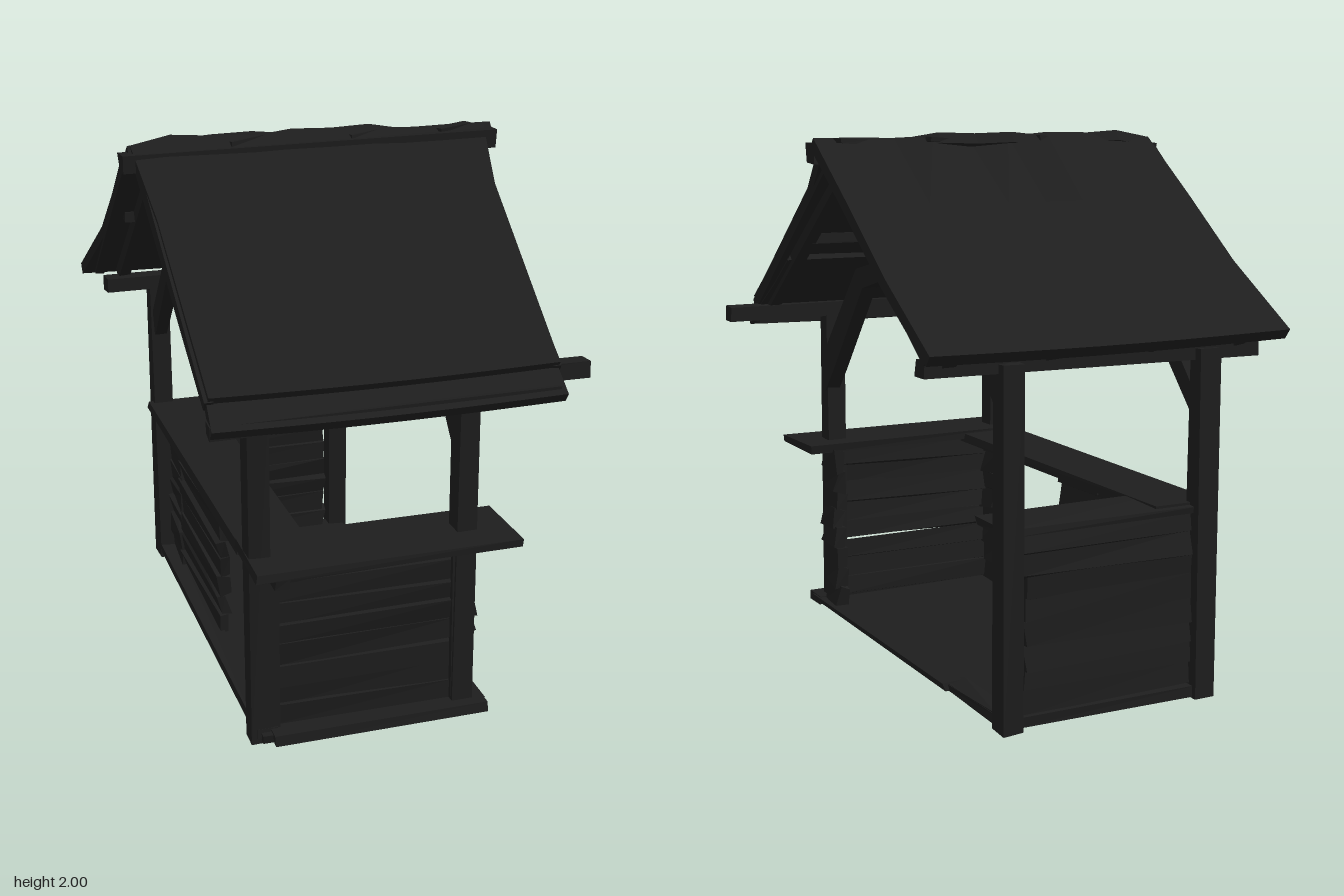
import * as THREE from 'three';

export function createModel() {
  const model = new THREE.Group();
  model.name = 'marketStall';
  const wood = new THREE.MeshStandardMaterial({ color: 0x1e1e1e, flatShading: true });
  wood.name = 'darkWood';

  let seed = 7;
  const rnd = () => ((seed = (seed * 16807) % 2147483647) / 2147483647) - 0.5;
  const lerp = THREE.MathUtils.lerp;

  function add(name, geometry, parent = model) {
    const mesh = new THREE.Mesh(geometry, wood);
    mesh.name = name;
    parent.add(mesh);
    return mesh;
  }
  // box whose eight corners are nudged for a hand-cut look
  function roughBox(w, h, d, j = 0.008) {
    const g = new THREE.BoxGeometry(w, h, d), p = g.attributes.position;
    const nudge = Array.from({ length: 8 }, () => [rnd() * j, rnd() * j, rnd() * j]);
    for (let i = 0; i < p.count; i++) {
      const n = nudge[(p.getX(i) > 0 ? 1 : 0) + (p.getY(i) > 0 ? 2 : 0) + (p.getZ(i) > 0 ? 4 : 0)];
      p.setXYZ(i, p.getX(i) + n[0], p.getY(i) + n[1], p.getZ(i) + n[2]);
    }
    g.computeVertexNormals();
    return g;
  }
  // box given by its limits
  function block(name, x0, x1, y0, y1, z0, z1, j, parent) {
    const m = add(name, roughBox(x1 - x0, y1 - y0, z1 - z0, j), parent);
    m.position.set((x0 + x1) / 2, (y0 + y1) / 2, (z0 + z1) / 2);
    return m;
  }
  // squared timber between two points
  function beam(name, a, b, w, h) {
    const p = new THREE.Vector3(...a), q = new THREE.Vector3(...b);
    const m = add(name, roughBox(w, h, p.distanceTo(q)));
    m.position.copy(p).add(q).multiplyScalar(0.5);
    m.lookAt(q);
    return m;
  }

  // floor and sill beams
  block('floor', -0.46, 0.36, 0.025, 0.055, -0.84, 0.82, 0.01);
  block('frontSill', -0.42, 0.375, 0.025, 0.065, 0.74, 0.85);
  block('backSill', -0.45, 0.36, 0.02, 0.06, -0.87, -0.78);
  block('rightSill', 0.3, 0.38, 0.03, 0.065, -0.45, 0.8, 0.015);
  block('rightSill', 0.29, 0.365, 0.025, 0.06, -0.8, -0.42, 0.015);
  block('leftSill', -0.47, -0.4, 0.03, 0.065, -0.8, 0.8);

  // corner posts: centre x, centre z, top
  for (const [x, z, y] of [[-0.458, 0.757, 1.29], [0.293, 0.762, 1.29], [-0.435, -0.848, 1.27], [0.338, -0.848, 1.27]]) {
    block('post', x - 0.039, x + 0.039, 0.01, y, z - 0.04, z + 0.04, 0.01);
  }

  // stacked plank walls, along x or along z
  function plankWall(name, axis, from, to, at, ragged) {
    const wall = new THREE.Group(), count = 8, y0 = 0.055, step = 0.08, half = 0.02;
    wall.name = name;
    for (let i = 0; i < count; i++) {
      const a = from + rnd() * ragged, b = to + rnd() * ragged;
      const y = y0 + i * step, top = y + step + 0.004;
      if (axis === 'x') block('plank', a, b, y, top, at - half, at + half, 0.022, wall).rotation.x = 0.12;
      else block('plank', at - half, at + half, y, top, a, b, 0.022, wall).rotation.z = 0.12;
    }
    model.add(wall);
  }
  plankWall('frontWall', 'x', -0.42, 0.27, 0.75, 0.01);
  plankWall('backWall', 'x', -0.41, 0.28, -0.835, 0.02);
  plankWall('leftWall', 'z', -0.6, 0.05, -0.4, 0.03);
  plankWall('leftWallEnd', 'z', -0.82, -0.59, -0.4, 0.02);
  plankWall('leftFrontStub', 'z', 0.605, 0.74, -0.41, 0.04);
  plankWall('rightFrontStub', 'z', 0.605, 0.74, 0.33, 0.04);

  // frame around the front panel
  block('panelTop', -0.42, 0.3, 0.64, 0.7, 0.75, 0.8);
  block('panelSide', -0.42, -0.39, 0.06, 0.66, 0.755, 0.79);
  block('panelSide', 0.25, 0.32, 0.06, 0.66, 0.765, 0.795);

  // counter tops and their supports
  block('frontCounter', -0.5, 0.45, 0.7, 0.73, 0.63, 0.925, 0.012);
  block('leftCounter', -0.5, -0.25, 0.69, 0.722, -0.84, 0.66, 0.012);
  block('backCounter', -0.47, 0.35, 0.685, 0.717, -0.86, -0.64, 0.012);
  block('counterSupport', -0.43, -0.38, 0.65, 0.69, 0.44, 0.9);
  block('counterSupport', -0.43, -0.38, 0.64, 0.69, 0.04, 0.28);
  block('counterSupport', -0.43, -0.37, 0.63, 0.66, -0.25, -0.16);

  // straight tie and braces on the left frame
  const lx = -0.44, rx = 0.31;
  beam('leftTie', [lx, 1.433, 0.55], [lx, 1.433, -0.53], 0.06, 0.065);
  beam('leftBrace', [lx, 1.0, 0.73], [lx, 1.43, 0.38], 0.055, 0.07);
  beam('leftBrace', [lx, 1.05, -0.83], [lx, 1.43, -0.5], 0.055, 0.07);

  // arched brace on the right frame: outer line, then inner line back
  const arch = [[0.73, 1.11], [0.4, 1.47], [0.13, 1.53], [-0.27, 1.575], [-0.46, 1.54], [-0.82, 1.16],
    [-0.82, 1.04], [-0.45, 1.45], [-0.27, 1.51], [0.1, 1.46], [0.34, 1.4], [0.64, 1.04], [0.73, 0.94]];
  const archShape = new THREE.Shape(arch.map(([z, y]) => new THREE.Vector2(-z, y)));
  const archGeo = new THREE.ExtrudeGeometry(archShape, { depth: 0.06, bevelEnabled: false });
  archGeo.rotateY(Math.PI / 2).translate(rx - 0.03, 0, 0);
  add('archedBrace', archGeo);

  // roof slabs: t runs from ridge to eave, u from -x to +x
  function slab(name, front, top, bottom, left, right, thick, jag) {
    const g = new THREE.BoxGeometry(1, 1, 1, 9, 1, 3), p = g.attributes.position;
    const slope = new THREE.Vector2(bottom[0] - top[0], bottom[1] - top[1]).normalize();
    const nz = front ? -slope.y : slope.y, ny = Math.abs(slope.x);
    const teeth = Array.from({ length: 10 }, () => rnd() * jag);
    for (let i = 0; i < p.count; i++) {
      const u = p.getX(i) + 0.5, v = p.getY(i) - 0.5;
      const t = front ? p.getZ(i) + 0.5 : 0.5 - p.getZ(i);
      const k = Math.round(t * 3);
      const edge = k === 0 ? teeth[Math.round(u * 9)] : 0;
      const sag = k > 0 ? -0.008 * Math.sin(u * Math.PI) : 0;
      p.setXYZ(i, lerp(left[k], right[k], u),
        lerp(top[1], bottom[1], t) + v * thick * ny + edge + sag,
        lerp(top[0], bottom[0], t) + v * thick * nz - edge);
    }
    g.computeVertexNormals();
    add(name, g);
  }
  slab('frontRoof', true, [-0.08, 1.99], [0.84, 1.335],
    [-0.68, -0.65, -0.64, -0.63], [0.67, 0.61, 0.6, 0.6], 0.045, 0.03);
  slab('frontEaveBoard', true, [0.5, 1.54], [0.915, 1.245],
    [-0.63, -0.63, -0.63, -0.64], [0.59, 0.59, 0.6, 0.6], 0.04, 0);
  slab('backRoof', false, [-0.08, 1.985], [-0.925, 1.325],
    [-0.69, -0.69, -0.695, -0.74], [0.7, 0.69, 0.685, 0.66], 0.045, 0.03);

  // ridge splinters
  for (const x of [-0.25, 0.2, 0.55]) {
    beam('ridgeSplinter', [x - 0.07, 1.965, -0.06], [x + 0.07, 1.975, -0.1], 0.05, 0.02);
  }

  // ridge beam, eave beams and purlins
  beam('ridgeBeam', [-0.72, 1.92, -0.045], [0.7, 1.93, -0.05], 0.07, 0.07);
  beam('frontEaveBeam', [-0.6, 1.28, 0.755], [0.74, 1.275, 0.755], 0.07, 0.06);
  beam('frontEdgeBeam', [-0.64, 1.235, 0.865], [0.58, 1.245, 0.865], 0.06, 0.05);
  beam('backEaveBeam', [-0.66, 1.26, -0.81], [0.64, 1.27, -0.81], 0.07, 0.06);
  beam('frontPurlin', [-0.6, 1.6, 0.37], [0.57, 1.6, 0.37], 0.04, 0.04);
  beam('backPurlin', [-0.64, 1.63, -0.45], [0.64, 1.63, -0.45], 0.04, 0.04);

  // rafters under both slopes
  for (const x of [-0.58, -0.2, 0.17, 0.55]) {
    beam('frontRafter', [x, 1.89, -0.03], [x, 1.27, 0.82], 0.05, 0.05);
    beam('backRafter', [x, 1.9, -0.09], [x, 1.29, -0.86], 0.05, 0.05);
  }
  // edge boards along the gable ends
  for (const [x0, x1] of [[-0.655, -0.625], [0.62, 0.59]]) {
    beam('frontVerge', [x0, 1.93, -0.06], [x1, 1.3, 0.82], 0.03, 0.05);
    beam('backVerge', [x0 * 1.05, 1.92, -0.09], [x1 * 1.08, 1.31, -0.88], 0.03, 0.05);
  }
  return model;
}
